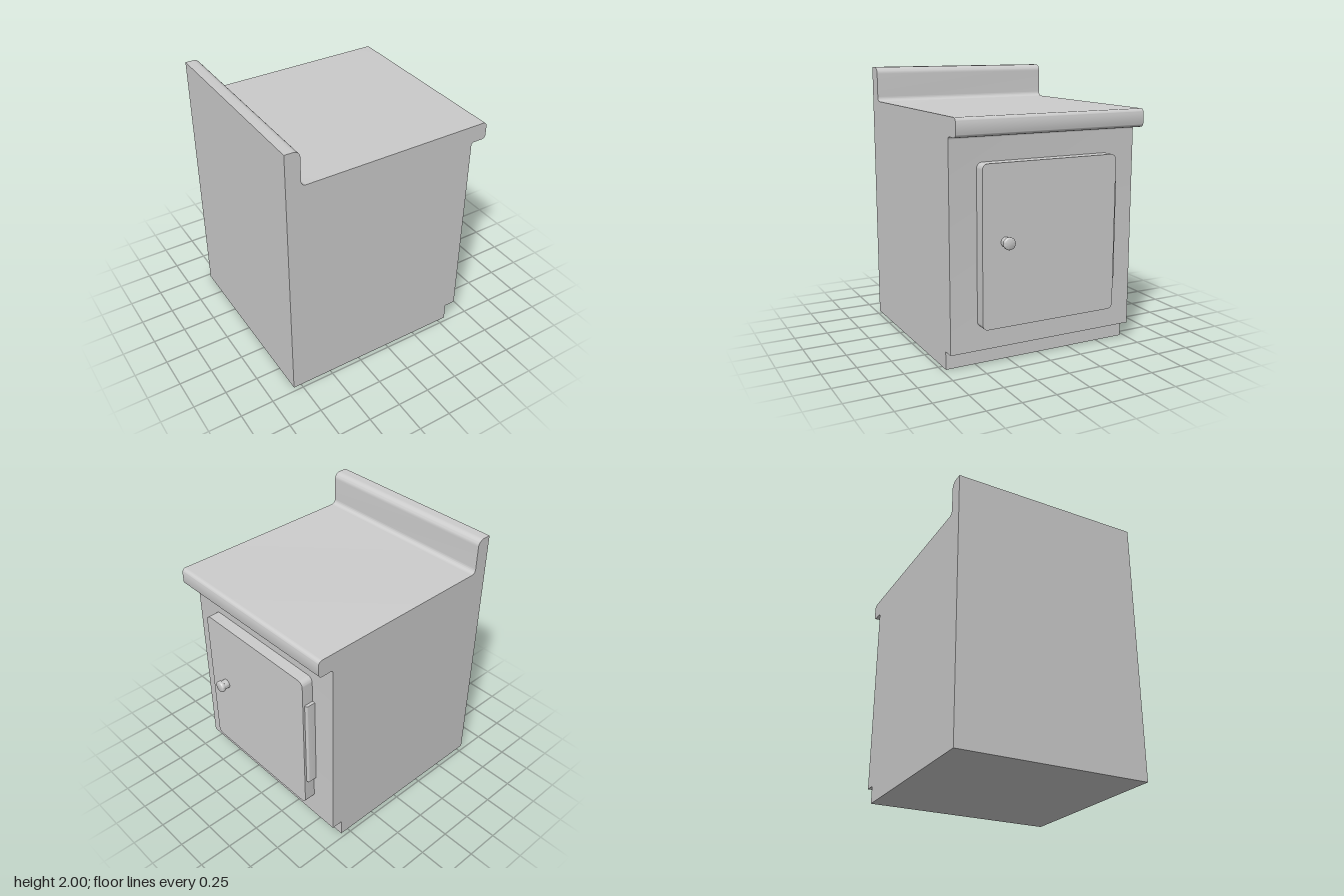
import * as THREE from 'three';
import { toCreasedNormals } from 'three/addons/utils/BufferGeometryUtils.js';

const grey = new THREE.MeshStandardMaterial({ color: 0xcccccc });

function part(name, geometry) {
  const mesh = new THREE.Mesh(geometry, grey);
  mesh.name = name;
  return mesh;
}

// Closed outline from [x, y, corner radius] points
function roundedOutline(points) {
  const shape = new THREE.Shape();
  const n = points.length;
  points.forEach(([x, y, r = 0], i) => {
    const corner = new THREE.Vector2(x, y);
    const toward = (p) => new THREE.Vector2(p[0], p[1]).sub(corner).setLength(r).add(corner);
    const a = toward(points[(i + n - 1) % n]);
    const b = toward(points[(i + 1) % n]);
    if (i === 0) shape.moveTo(a.x, a.y);
    else shape.lineTo(a.x, a.y);
    if (r > 0) {
      // cubic approximation of a quarter circle
      const c1 = a.clone().lerp(corner, 0.5523);
      const c2 = b.clone().lerp(corner, 0.5523);
      shape.bezierCurveTo(c1.x, c1.y, c2.x, c2.y, b.x, b.y);
    }
  });
  shape.closePath();
  return shape;
}

function extrude(points, depth) {
  const geometry = new THREE.ExtrudeGeometry(roundedOutline(points), {
    depth, bevelEnabled: false, curveSegments: 10,
  });
  return toCreasedNormals(geometry, 0.6);
}

export function createModel() {
  const model = new THREE.Group();
  model.name = 'cabinet';

  // Carcass, toe kick, worktop and backsplash share one side profile
  const body = extrude([
    [-0.81, 0], [0.565, 0], [0.565, 0.13], [0.65, 0.13],
    [0.65, 1.61, 0.02], [0.77, 1.61, 0.03], [0.77, 1.74, 0.03],
    [-0.7, 1.74, 0.035], [-0.7, 2, 0.05], [-0.81, 2],
  ], 1.44);
  body.translate(0, 0, -0.72);
  model.add(part('body', body));

  // Door panel with rounded corners, facing +x
  const door = extrude([
    [-0.52, 0.3, 0.04], [0.52, 0.3, 0.04], [0.52, 1.43, 0.04], [-0.52, 1.43, 0.04],
  ], 0.087);
  door.rotateY(Math.PI / 2).translate(0.649, 0, 0);
  model.add(part('door', door));

  // Hinge strip along the far edge of the door
  const hinge = extrude([
    [0.645, 0.515], [0.72, 0.515], [0.72, 0.543, 0.012], [0.645, 0.543],
  ], 0.71);
  hinge.rotateX(-Math.PI / 2);
  hinge.translate(0, 0.52, 0);
  model.add(part('hinge', hinge));

  // Turned knob: neck and rounded head
  const profile = [
    [0, 0], [0.035, 0], [0.035, 0.038], [0.041, 0.041], [0.043, 0.046],
    [0.043, 0.062], [0.041, 0.067], [0.036, 0.07], [0, 0.07],
  ].map(([r, h]) => new THREE.Vector2(r, h));
  const knob = toCreasedNormals(new THREE.LatheGeometry(profile, 32), 0.7);
  knob.rotateZ(-Math.PI / 2).translate(0.735, 0.897, 0.35);
  model.add(part('knob', knob));

  return model;
}
